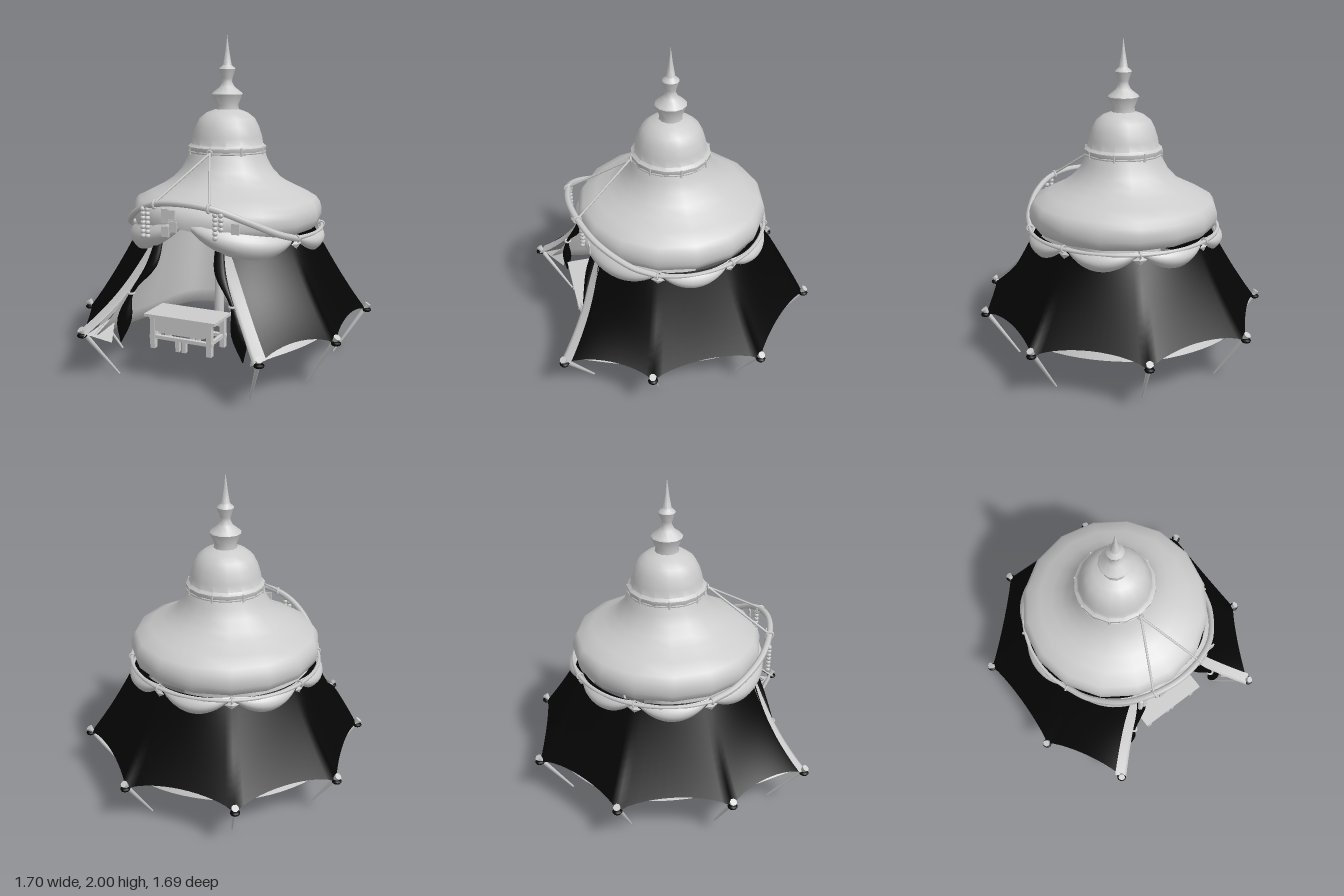
import * as THREE from 'three';
import { toCreasedNormals } from 'three/addons/utils/BufferGeometryUtils.js';
import { ParametricGeometry } from 'three/addons/geometries/ParametricGeometry.js';

const light = new THREE.MeshStandardMaterial({ color: 0xcccccc, side: THREE.DoubleSide });
const dark = new THREE.MeshStandardMaterial({ color: 0x050505, side: THREE.DoubleSide });
const V = (x, y, z) => new THREE.Vector3(x, y, z);
const { lerp, clamp } = THREE.MathUtils;
// Point on a circle; angle in degrees from the front (+z) toward +x
const polar = (deg, r, y) => V(r * Math.sin(deg * Math.PI / 180), y, r * Math.cos(deg * Math.PI / 180));

export function createModel() {
  const model = new THREE.Group();

  const add = (name, geo, mat = light, pos) => {
    const m = new THREE.Mesh(geo, mat);
    m.name = name;
    if (pos) m.position.copy(pos);
    model.add(m);
    return m;
  };
  const box = (name, w, h, d, x, y, z) => add(name, new THREE.BoxGeometry(w, h, d), light, V(x, y, z));
  const sheet = (name, fn, nu, nv, mat) => add(name, new ParametricGeometry(fn, nu, nv), mat);
  const rope = (name, pts, r, n) =>
    add(name, new THREE.TubeGeometry(new THREE.CatmullRomCurve3(pts), n, r, 6));
  const rod = (name, a, b, ra, rb, sides = 8) => {
    const m = add(name, new THREE.CylinderGeometry(rb, ra, a.distanceTo(b), sides), light, a.clone().lerp(b, 0.5));
    m.quaternion.setFromUnitVectors(V(0, 1, 0), b.clone().sub(a).normalize());
  };
  const lathe = (name, profile, sides) => {
    const g = new THREE.LatheGeometry(profile.map(p => new THREE.Vector2(...p)), sides);
    const p = g.attributes.position;
    // Lift the eave over the doorway
    for (let i = 0; i < p.count; i++)
      if (p.getY(i) < 0.9 && Math.abs(p.getX(i)) < 0.1 && p.getZ(i) > 0) p.setY(i, 0.92);
    add(name, toCreasedNormals(g, 0.8));
  };

  // Roof, dome and spire
  lathe('roof', [[0.5, 0.87], [0.55, 0.85], [0.575, 0.87], [0.588, 0.91], [0.588, 0.95], [0.578, 0.985], [0.555, 1.018],
    [0.47, 1.06], [0.39, 1.1], [0.33, 1.14], [0.28, 1.195], [0.25, 1.25], [0.232, 1.3]], 16);
  lathe('dome', [[0.228, 1.285], [0.24, 1.3], [0.242, 1.33], [0.222, 1.345], [0.215, 1.39], [0.196, 1.45],
    [0.17, 1.5], [0.125, 1.535], [0.07, 1.555]], 16);
  lathe('spire', [[0.075, 1.54], [0.068, 1.58], [0.097, 1.645], [0.09, 1.655], [0.045, 1.69], [0.03, 1.72],
    [0.032, 1.74], [0.052, 1.795], [0.046, 1.804], [0.027, 1.82], [0.012, 1.91], [0, 2]], 12);
  add('domeBand', new THREE.TorusGeometry(0.235, 0.007, 6, 32), light, V(0, 1.3, 0)).rotation.x = Math.PI / 2;
  for (let i = 0; i < 8; i++) {
    const p = polar(i * 45, 0.24, 1.3);
    rod('domeTie', p.clone().setY(1.285), p.clone().setY(1.335), 0.006, 0.006, 6);
  }

  // Outer skirt: eight staked corners, seven sagging edges, open at the front
  const half = [[0.55, 0.81], [0.82, 0.33], [0.82, -0.34], [0.34, -0.82]];
  const corners = [...half, ...half.slice().reverse().map(([x, z]) => [-x, z])];
  const topAngles = [20.5, 67.5, 112.5, 157.5, 202.5, 247.5, 292.5, 339.5];
  const skirtPoint = (u, v, out) => {
    const i = Math.min(6, Math.floor(u * 7 + 1e-6)), t = clamp(u * 7 - i, 0, 1);
    const sag = Math.pow(4 * t * (1 - t), 0.7);
    const k = 1 - 0.033 * sag;
    const bottom = V(lerp(corners[i][0], corners[i + 1][0], t) * k, 0.28 + 0.065 * sag,
      lerp(corners[i][1], corners[i + 1][1], t) * k);
    const top = polar(lerp(topAngles[i], topAngles[i + 1], t), 0.545, 0.83);
    out.lerpVectors(top, bottom, v);
    const door = Math.max(0, 1 - 7 * u, 7 * u - 6);
    const bow = 1 - (0.08 + 0.22 * door) * v * (1 - v);
    out.x *= bow;
    out.z *= bow;
  };
  sheet('skirt', skirtPoint, 84, 12, dark);

  // Inner lining band under the skirt
  const liningPath = new THREE.CatmullRomCurve3(
    [[0.52, 0.77], [0.69, 0.3], [0.7, -0.28], [0.29, -0.7], [-0.29, -0.7], [-0.7, -0.28], [-0.69, 0.3], [-0.52, 0.77]]
      .map(([x, z]) => V(x, 0, z)));
  sheet('lining', (u, v, out) => {
    const end = Math.pow(Math.abs(2 * u - 1), 4);
    liningPath.getPoint(u, out).multiplyScalar(1 - (0.12 + 0.12 * end) * v - 0.02 * end);
    out.y = 0.27 + 0.2 * v;
  }, 56, 3, light);

  // Partition around the front room
  const uPath = pts => new THREE.CatmullRomCurve3(
    [...pts, ...pts.slice().reverse().map(([x, z]) => [-x, z])].map(([x, z]) => V(x, 0, z)));
  const floorPath = uPath([[0.5, 0.74], [0.4, 0.33], [0.26, -0.1]]);
  const ceilingPath = uPath([[0.19, 0.45], [0.23, 0.25], [0.2, -0.08]]);
  const tmp = V(0, 0, 0);
  sheet('partition', (u, v, out) => {
    floorPath.getPoint(u, out).lerp(ceilingPath.getPoint(u, tmp), Math.pow(v, 0.8));
    out.y = lerp(0.27, 0.95, v);
  }, 50, 8, light);

  // Stakes with knobs and cloth pads at the corners
  for (const [x, z] of corners) {
    const head = V(x, 0.31, z), foot = V(x * 0.77, 0.005, z * 0.77);
    rod('stake', foot, head, 0.006, 0.015);
    const dir = head.clone().sub(foot).normalize();
    rod('stakeKnob', head.clone().addScaledVector(dir, -0.012), head.clone().addScaledVector(dir, 0.016), 0.015, 0.022);
    add('cornerPad', new THREE.SphereGeometry(0.03, 10, 6), dark, V(x, 0.285, z)).scale.y = 0.5;
  }

  // Door trim, loose flaps and tied-back curtains, mirrored
  for (const s of [1, -1]) {
    sheet('doorTrim', (u, v, out) => {
      skirtPoint(0.012 * (1 - u), v, out);
      out.x = s * (out.x * 1.015 + 0.006 - 0.035 * u);
      out.z = out.z * 1.015 + 0.006 + 0.004 * u;
    }, 4, 12, light);
    const flap = new THREE.BufferGeometry().setFromPoints(
      [V(s * 0.54, 0.28, 0.78), V(s * 0.44, 0.21, 0.67), V(s * 0.45, 0.36, 0.61)]);
    flap.computeVertexNormals();
    add('doorFlap', flap);
    const path = new THREE.CatmullRomCurve3(
      [V(0.19, 0.84, 0.52), V(0.22, 0.68, 0.575), V(0.32, 0.52, 0.635), V(0.365, 0.36, 0.645), V(0.39, 0.215, 0.65)]);
    const girth = new THREE.CatmullRomCurve3([0.025, 0.036, 0.013, 0.048, 0.003].map((r, i) => V(r, i, 0)));
    sheet('curtain', (u, v, out) => {
      path.getPoint(v, out);
      const r = girth.getPoint(v).x, a = u * Math.PI * 2;
      out.x = s * (out.x + r * Math.cos(a));
      out.z += 0.6 * r * Math.sin(a);
    }, 10, 16, dark);
    add('curtainTie', new THREE.TorusGeometry(0.017, 0.007, 6, 12), light, V(s * 0.32, 0.52, 0.635)).rotation.x = Math.PI / 2;
  }

  // Scalloped swags under the eave
  const swag = (a0, a1, y0, y1, drop) => sheet('swag', (u, v, out) => {
    const s = Math.pow(Math.max(0, Math.sin(Math.PI * u)), 0.7);
    const y = lerp(y0, y1, u) - drop * s * v;
    out.copy(polar(lerp(a0, a1, u), 0.565 + 0.058 * s * Math.sin(Math.PI * (0.12 + 0.75 * v)), y));
  }, 16, 8, light);
  for (let a = 67.5; a < 290; a += 45) swag(a, a + 45, 0.85, 0.85, 0.115);
  for (const s of [1, -1]) swag(0, s * 67.5, 0.95, 0.84, 0.145);

  // Eave rope with ties and diamond pendants
  const eave = [];
  for (let a = 67.5; a <= 293; a += 11.25) eave.push(polar(a, 0.59, 0.84));
  rope('eaveRope', eave, 0.012, 60);
  for (let a = 67.5; a < 293; a += 45) {
    const tie = add('ropeTie', new THREE.TorusGeometry(0.019, 0.006, 6, 10), light, polar(a, 0.588, 0.84));
    tie.rotation.y = (a + 90) * Math.PI / 180;
    const gem = add('pendant', new THREE.OctahedronGeometry(0.042), light, polar(a, 0.585, 0.808));
    gem.scale.set(1, 0.7, 0.35);
    gem.rotation.y = a * Math.PI / 180;
  }

  // Front arch with its two stays
  const side = [[67, 0.585, 0.84], [53, 0.605, 0.885], [33, 0.63, 0.98], [18, 0.637, 1.045]];
  rope('frontArch', [...side.map(([a, r, y]) => polar(a, r, y)), polar(0, 0.64, 1.07),
    ...side.slice().reverse().map(([a, r, y]) => polar(-a, r, y))], 0.019, 40);
  add('stayRing', new THREE.TorusGeometry(0.016, 0.006, 6, 12), light, V(0, 1.305, 0.25));
  for (const s of [1, -1]) {
    rod('stay', V(0, 1.305, 0.25), V(s * 0.17, 1.06, 0.61), 0.007, 0.007, 6);
    add('archTie', new THREE.TorusGeometry(0.022, 0.008, 6, 10), light, V(s * 0.17, 1.05, 0.615)).rotation.y = Math.PI / 2;
  }

  // Hanging beads and cards
  for (const [x, n] of [[-0.255, 7], [-0.225, 7], [0.2, 6], [0.235, 4]])
    for (let i = 0; i < n; i++)
      add('bead', new THREE.SphereGeometry(0.016, 8, 6), light, V(x, 1.015 - i * 0.026, 0.6));
  for (const [x, y, h] of [[-0.1, 0.99, 0.08], [-0.05, 0.93, 0.06], [-0.1, 0.9, 0.06], [-0.06, 1.0, 0.05], [0.31, 0.94, 0.06]])
    box('card', 0.048, h, 0.008, x, y, x > 0 ? 0.575 : 0.62);

  // Centre pole
  rod('centrePole', V(0, 0.21, 0.12), V(0, 1.02, 0.12), 0.03, 0.024, 10);

  // Counter table
  box('tableTop', 0.45, 0.016, 0.22, 0, 0.408, 0.55);
  const panel = new THREE.Shape([[-0.21, 0.4], [-0.17, 0.32], [-0.13, 0.305], [0.13, 0.305], [0.17, 0.32], [0.21, 0.4]]
    .map(p => new THREE.Vector2(...p)));
  add('tablePanel', new THREE.ExtrudeGeometry(panel, { depth: 0.012, bevelEnabled: false }), light, V(0, 0, 0.625));
  for (const z of [0.455, 0.63]) {
    box('tableRail', 0.4, 0.02, 0.025, 0, 0.28, z);
    for (const x of [-0.18, 0.18]) box('tableLeg', 0.03, 0.19, 0.03, x, 0.305, z);
    for (const x of [-0.02, 0.02]) box('tableCentreLeg', 0.025, 0.08, 0.025, x, 0.25, z);
  }
  for (const x of [-0.18, 0.18]) box('tableSideRail', 0.02, 0.02, 0.16, x, 0.28, 0.55);

  return model;
}
